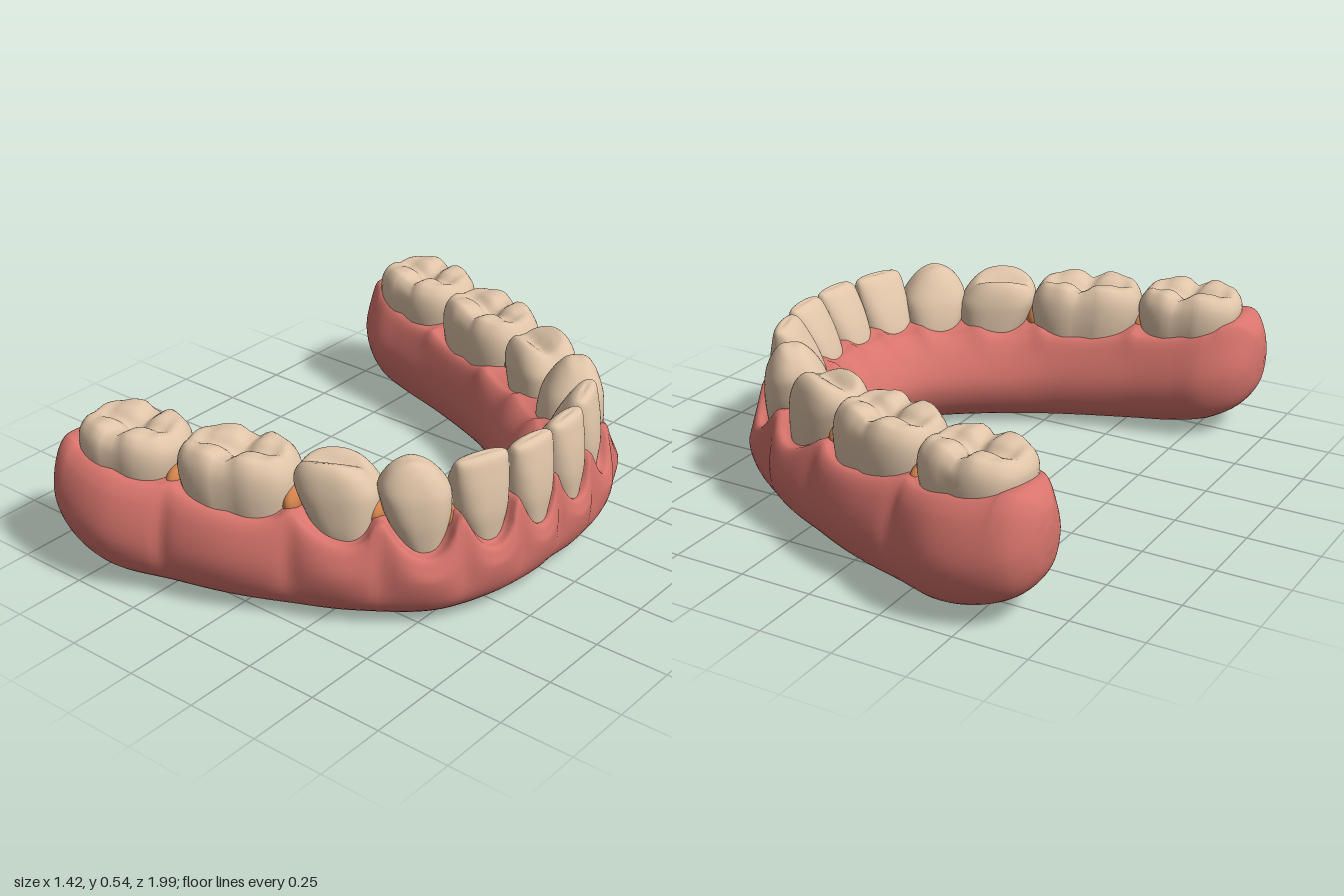
import * as THREE from 'three';
import { mergeVertices } from 'three/addons/utils/BufferGeometryUtils.js';

const V = (x, y, z) => new THREE.Vector3(x, y, z);
const rad = THREE.MathUtils.degToRad;

// Teeth of one side, front to back: centre, yaw of the outward direction, width, depth,
// base and top height, gum margin height and its forward slope, forward lean of the neck
const TEETH = [
  { name: 'centralIncisor', kind: 'incisor', x: 0.583, z: 0.089, yaw: 5, w: 0.183, d: 0.192, base: 0.19, top: 0.533, neck: 0.243, slope: 0, lean: 0 },
  { name: 'lateralIncisor', kind: 'incisor', x: 0.53, z: 0.266, yaw: 20, w: 0.195, d: 0.195, base: 0.19, top: 0.533, neck: 0.243, slope: 0, lean: 0.01 },
  { name: 'canine', kind: 'canine', x: 0.41, z: 0.43, yaw: 43, w: 0.225, d: 0.23, base: 0.19, top: 0.54, neck: 0.245, slope: 0.015, lean: 0.04 },
  { name: 'premolar', kind: 'premolar', x: 0.205, z: 0.55, yaw: 64, w: 0.268, d: 0.228, base: 0.21, top: 0.517, neck: 0.28, slope: 0.03, lean: 0.06 },
  { name: 'firstMolar', kind: 'molar', x: -0.09, z: 0.663, yaw: 71, w: 0.392, d: 0.28, base: 0.25, top: 0.515, neck: 0.33, slope: 0.022, lean: 0.02 },
  { name: 'secondMolar', kind: 'molar', x: -0.45, z: 0.757, yaw: 80, w: 0.362, d: 0.29, base: 0.3, top: 0.52, neck: 0.388, slope: 0.028, lean: 0.01 },
].map((t) => {
  const a = rad(t.yaw);
  return { ...t, nx: Math.cos(a), nz: Math.sin(a), tx: Math.sin(a), tz: -Math.cos(a) };
});

// Crown levels from neck to centre of the biting surface: width, height, depth
const CROWNS = {
  incisor: [[0.45, 0, 0.9], [0.74, 0.25, 0.97], [0.94, 0.45, 0.96], [1, 0.66, 0.8], [1, 0.85, 0.55], [0.96, 0.96, 0.36], [0.84, 1, 0.2], [0, 1, 0]],
  canine: [[0.42, 0, 0.85], [0.7, 0.25, 0.96], [0.93, 0.48, 0.98], [1, 0.68, 0.88], [0.93, 0.85, 0.66], [0.7, 0.96, 0.42], [0.4, 1, 0.24], [0, 1, 0]],
  premolar: [[0.5, 0, 0.82], [0.76, 0.28, 0.97], [0.95, 0.55, 1], [1, 0.72, 0.98], [0.94, 0.89, 0.87], [0.74, 0.99, 0.67], [0.45, 0.98, 0.42], [0.2, 0.96, 0.2], [0, 0.96, 0]],
  molar: [[0.8, 0, 0.86], [0.92, 0.3, 0.97], [1, 0.6, 1], [0.97, 0.84, 0.94], [0.84, 0.99, 0.78], [0.62, 1, 0.56], [0.42, 0.99, 0.37], [0.2, 0.98, 0.18], [0, 0.98, 0]],
};
const EDGE_SHIFT = { incisor: 0.22, canine: 0.12, premolar: 0, molar: 0 };
const groove = (v, width) => Math.exp(-((v / width) ** 2));

// Height change of the biting surface; a runs along the arch, b outward, both -1..1
function cusps(kind, a, b) {
  if (kind === 'molar') {
    return -0.028 * groove(b, 0.18) * (1 - a * a) - 0.03 * groove(a - 0.05 + 0.12 * b, 0.16)
      - 0.007 * groove(Math.abs(a) - 0.6, 0.14) - 0.022 * a ** 4;
  }
  if (kind === 'premolar') return -0.025 * groove(b + 0.1, 0.25) * (1 - a * a) + 0.012 * b - 0.04 * a * a;
  if (kind === 'canine') return -0.045 * Math.abs(a) ** 1.5;
  return -0.006 * a * a;
}

// Closed surface through rings of equal length, wound for outward faces
function loft(rings, flip, caps) {
  const n = rings[0].length;
  const pos = rings.flat().flatMap((p) => [p.x, p.y, p.z]);
  const index = [];
  const tri = (a, b, c) => (flip ? index.push(a, c, b) : index.push(a, b, c));
  for (let i = 0; i < rings.length - 1; i++) {
    for (let j = 0; j < n; j++) {
      const a = i * n + j, b = i * n + ((j + 1) % n);
      tri(a, b, a + n);
      tri(b, b + n, a + n);
    }
  }
  if (caps) {
    [0, rings.length - 1].forEach((i) => {
      const c = rings[i].reduce((s, p) => s.add(p), V(0, 0, 0)).divideScalar(n);
      const k = pos.length / 3;
      pos.push(c.x, c.y, c.z);
      for (let j = 0; j < n; j++) {
        const a = i * n + j, b = i * n + ((j + 1) % n);
        i ? tri(a, b, k) : tri(b, a, k);
      }
    });
  }
  let geo = new THREE.BufferGeometry();
  geo.setAttribute('position', new THREE.Float32BufferAttribute(pos, 3));
  geo.setIndex(index);
  geo = mergeVertices(geo, 1e-5);
  geo.computeVertexNormals();
  return geo;
}

function toothGeometry(t, side) {
  const levels = new THREE.CatmullRomCurve3(CROWNS[t.kind].map((l) => V(...l))).getPoints(30);
  const sq = (v) => Math.sign(v) * Math.abs(v) ** 0.77;
  const rings = levels.map((l) => {
    const ring = [];
    for (let j = 0; j < 48; j++) {
      const th = (j / 48) * Math.PI * 2;
      const ca = sq(Math.cos(th)), sb = sq(Math.sin(th));
      const a = l.x * ca;
      let b = l.z * sb;
      if (t.kind === 'molar') b *= 1 - 0.09 * groove(a - 0.05, 0.16);
      const m = (a * t.w) / 2 + t.lean * (1 - l.y);
      const n = t.d * (b / 2 + EDGE_SHIFT[t.kind] * l.y * l.y);
      const y = t.base + l.y * (t.top - t.base) + cusps(t.kind, a, b) * THREE.MathUtils.smoothstep(l.y, 0.6, 1);
      ring.push(V(t.x + m * t.tx + n * t.nx, y, side * (t.z + m * t.tz + n * t.nz)));
    }
    return ring;
  });
  return loft(rings, side > 0, false);
}

// Gum stations, front to back: inner x z, outer x z, bottom, top, inner and outer margin
const GUM = [
  [0.372, 0, 0.70, 0, 0.018, 0.37, 0.33, 0.95],
  [0.362, 0.09, 0.706, 0.1, 0.018, 0.37, 0.33, 0.95],
  [0.325, 0.175, 0.679, 0.29, 0.014, 0.365, 0.3, 0.95],
  [0.24, 0.265, 0.588, 0.495, 0.006, 0.355, 0.24, 0.93],
  [0.09, 0.375, 0.37, 0.665, 0.003, 0.35, 0.18, 0.91],
  [-0.02, 0.44, 0.19, 0.755, 0.003, 0.355, 0.14, 0.88],
  [-0.15, 0.49, 0.0, 0.845, 0.006, 0.36, 0.12, 0.87],
  [-0.3, 0.535, -0.2, 0.915, 0.012, 0.372, 0.12, 0.84],
  [-0.45, 0.563, -0.4, 0.988, 0.022, 0.395, 0.12, 0.82],
  [-0.56, 0.583, -0.54, 0.985, 0.05, 0.42, 0.15, 0.8],
  [-0.645, 0.635, -0.64, 0.95, 0.1, 0.432, 0.2, 0.78],
  [-0.694, 0.705, -0.694, 0.885, 0.17, 0.385, 0.27, 0.73],
  [-0.711, 0.775, -0.711, 0.825, 0.25, 0.325, 0.3, 0.7],
];

// How far a gum point sits over a tooth (bump) or in the groove between two (gap)
function scallop(x, z) {
  let best = null;
  TEETH.forEach((t, i) => {
    const dx = x - t.x, dz = z - t.z;
    const m = (dx * t.tx + dz * t.tz - t.lean * 0.8) / (t.w / 2);
    if (dx * t.nx + dz * t.nz > 0 && (!best || Math.abs(m) < Math.abs(best.m))) best = { m, t, i };
  });
  if (!best) return { bump: 0, gap: 0, neck: 0.4 };
  const bump = Math.max(0, 1 - best.m ** 2) ** (best.t.kind === 'molar' ? 0.5 : 0.7);
  const behind = best.i === TEETH.length - 1 && best.m < 0;
  const neck = best.t.neck - best.t.slope * THREE.MathUtils.clamp(best.m, -1, 1);
  return { bump, gap: behind ? 0 : 1 - bump, neck };
}

function gumGeometry() {
  const mirror = (f) => new THREE.CatmullRomCurve3([
    ...GUM.slice(1).reverse().map((g) => f(g, -1)), ...GUM.map((g) => f(g, 1))]);
  const inner = mirror((g, s) => V(g[0], g[4], s * g[1]));
  const outer = mirror((g, s) => V(g[2], g[5], s * g[3]));
  const margin = mirror((g, s) => V(g[6], g[7], s));
  const rings = [];
  const count = 280;
  for (let i = 0; i <= count; i++) {
    const I = inner.getPoint(i / count), O = outer.getPoint(i / count), M = margin.getPoint(i / count);
    const { bump, gap, neck } = scallop(O.x, Math.abs(O.z));
    const yB = I.y, yT = O.y, H = yT - yB;
    const yO = THREE.MathUtils.lerp(yT, Math.min(neck, yT), bump);
    const yI = yT - 0.02 * bump, ti = M.x, tm = M.y - 0.07 * gap;
    const profile = [
      [0.5, yB], [0.78, yB + 0.055 * H], [0.93 - 0.01 * gap, yB + 0.22 * H],
      [1 - 0.06 * gap, yB + Math.min(0.5 * H, 0.75 * (yO - yB))],
      [(1 + tm) / 2 + 0.01 - 0.035 * gap, yB + 0.87 * (yO - yB)], [tm, yO], [tm - 0.08, yO + 0.005],
      [0.52, yT + 0.015 * H], [ti + 0.08, yI], [ti, yI - 0.02 * H], [ti * 0.45, yB + 0.78 * H],
      [0, yB + 0.48 * H], [0.07, yB + 0.21 * H], [0.22, yB + 0.05 * H],
    ].map(([t, y]) => V(I.x + (O.x - I.x) * t, y, I.z + (O.z - I.z) * t));
    rings.push(new THREE.CatmullRomCurve3(profile, true).getPoints(56).slice(0, 56));
  }
  return loft(rings, false, true);
}

export function createModel() {
  const mat = (name, color) => Object.assign(new THREE.MeshStandardMaterial({ color }), { name });
  const gumMat = mat('gum pink', 0xd7746c);
  const toothMat = mat('tooth ivory', 0xdfc4a8);
  const gapMat = mat('gap orange', 0xd0824c);
  const model = new THREE.Group();
  model.name = 'lowerDenture';
  const add = (geo, material, name) => {
    const mesh = new THREE.Mesh(geo, material);
    mesh.name = name;
    model.add(mesh);
    return mesh;
  };

  add(gumGeometry(), gumMat, 'gum');
  for (const side of [1, -1]) {
    const label = side > 0 ? 'left' : 'right';
    TEETH.forEach((t, i) => {
      add(toothGeometry(t, side), toothMat, `${label} ${t.name}`);
      if (i === 0) return;
      // Small filler in the gap towards the next tooth in front
      const f = add(new THREE.SphereGeometry(1, 20, 14), gapMat, `${label} gapFiller`);
      f.scale.set(t.d * (i > 2 ? 0.28 : 0.31), 0.055, 0.035);
      const m = t.w / 2, n = t.d * 0.04;
      f.position.set(t.x + t.tx * m + t.nx * n, i > 3 ? 0.36 : i > 2 ? 0.35 : 0.325, side * (t.z + t.tz * m + t.nz * n));
      f.rotation.y = -side * rad((t.yaw + TEETH[i - 1].yaw) / 2);
    });
  }
  return model;
}
